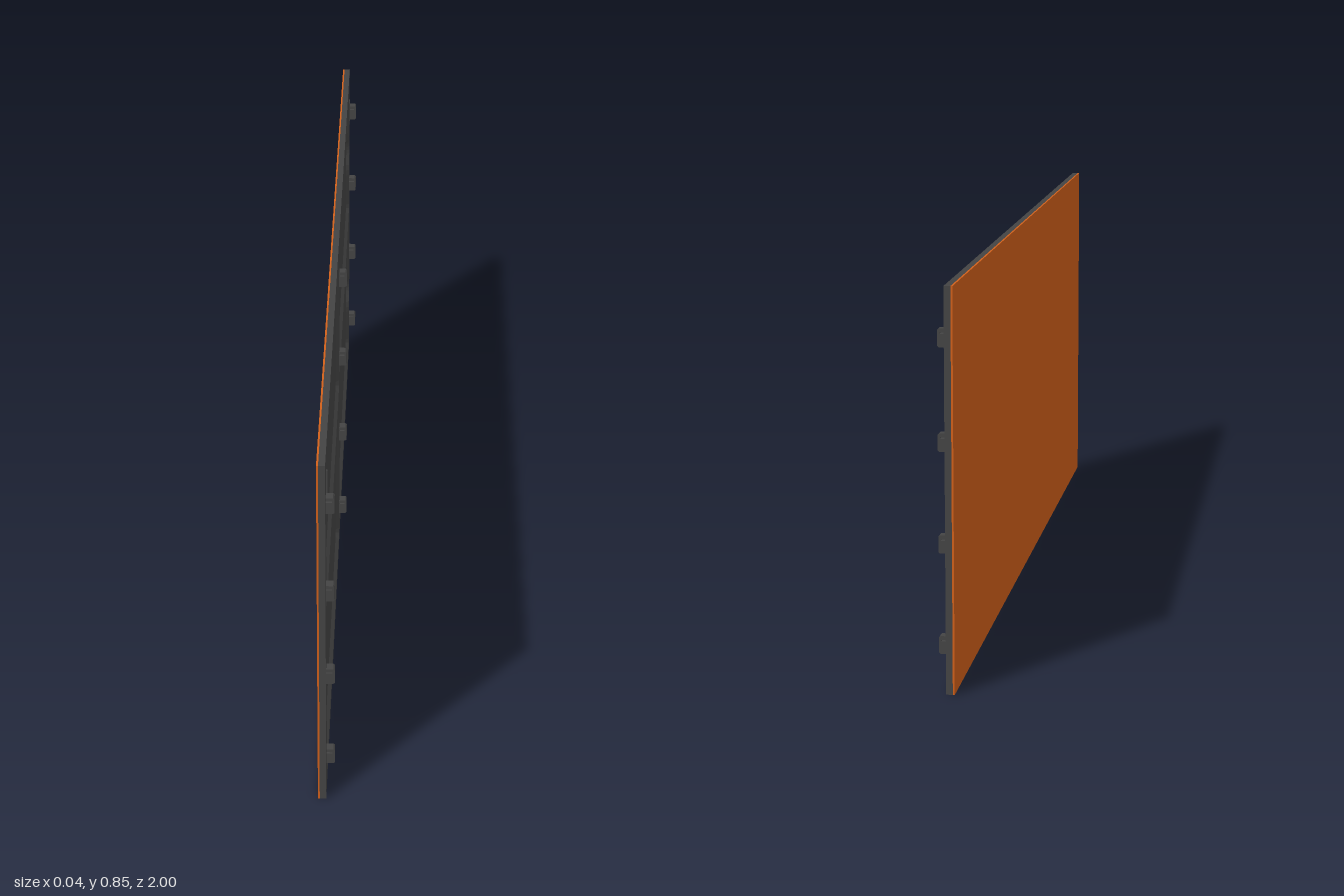
import * as THREE from 'three';
import { mergeGeometries } from 'three/addons/utils/BufferGeometryUtils.js';

const H = 0.85, SHEET = 0.004, BOARD = 0.014, DEPTH = 0.008, BEVEL = 0.009;
const V = (x, y) => new THREE.Vector2(x, y);
const dark = new THREE.MeshStandardMaterial({ color: 0x444444 });
const orange = new THREE.MeshStandardMaterial({ color: 0xd2601a });

// Counter-clockwise outline with every corner softened by a short curve
function rounded(points, radius) {
  const n = points.length, out = [];
  points.forEach((p, i) => {
    const toward = (q) => p.clone().add(q.clone().sub(p).setLength(Math.min(radius, q.distanceTo(p) * 0.4)));
    const a = toward(points[(i + n - 1) % n]), b = toward(points[(i + 1) % n]);
    out.push(...new THREE.QuadraticBezierCurve(a, p, b).getPoints(3));
  });
  return THREE.ShapeUtils.area(out) < 0 ? out.reverse() : out;
}

// Moves a counter-clockwise outline inward by d
function inset(points, d) {
  const n = points.length;
  const normal = (a, b) => V(a.y - b.y, b.x - a.x).normalize();
  return points.map((p, i) => {
    const n1 = normal(points[(i + n - 1) % n], p), n2 = normal(p, points[(i + 1) % n]);
    return n1.clone().add(n2).multiplyScalar(d / (1 + n1.dot(n2))).add(p);
  });
}

// Wall between a front outline and a deeper outline
function wall(outer, inner, z0, z1) {
  const pos = [], n = outer.length;
  for (let i = 0; i < n; i++) {
    const j = (i + 1) % n;
    const a = [outer[i].x, outer[i].y, z0], b = [outer[j].x, outer[j].y, z0];
    const c = [inner[j].x, inner[j].y, z1], d = [inner[i].x, inner[i].y, z1];
    pos.push(...a, ...b, ...c, ...a, ...c, ...d);
  }
  const g = new THREE.BufferGeometry();
  g.setAttribute('position', new THREE.Float32BufferAttribute(pos, 3));
  g.computeVertexNormals();
  return g;
}

function face(outline, holes, z) {
  const shape = new THREE.Shape(outline);
  shape.holes = holes.map((h) => new THREE.Path(h));
  const g = new THREE.ShapeGeometry(shape).toNonIndexed().translate(0, 0, z);
  g.deleteAttribute('uv');
  return g;
}

const rect = (cx, cy, w, h) =>
  [V(cx - w / 2, cy - h / 2), V(cx + w / 2, cy - h / 2), V(cx + w / 2, cy + h / 2), V(cx - w / 2, cy + h / 2)];

export function createModel() {
  const group = new THREE.Group();
  const panel = new THREE.Group();
  panel.name = 'panel';
  group.add(panel);
  const add = (name, geometry, material, parent = panel) => {
    const m = new THREE.Mesh(geometry, material);
    m.name = name;
    parent.add(m);
    return m;
  };

  // Stepped outline of one recess, mirrored and repeated on two rows
  const profile = [[0.03, 0.83], [0.893, 0.83], [0.893, 0.69], [0.91, 0.678], [0.955, 0.678], [0.972, 0.66],
    [0.972, 0.62], [0.937, 0.588], [0.937, 0.455], [0.03, 0.455]];
  const recesses = [], slots = [];
  for (const s of [-1, 1]) {
    for (const drop of [0, 0.428]) {
      recesses.push(rounded(profile.map(([x, y]) => V(s * x, y - drop)), 0.022));
    }
    slots.push(rect(s * 0.925, 0.758, 0.024, 0.084));
  }

  // Dark board: pierced front, outer edges, slot walls, sunken fields
  const border = rect(0, H / 2, 2, H);
  const edge = [...border].reverse();
  const parts = [face(border, [...recesses, ...slots], 0), wall(edge, edge, 0, -BOARD)];
  slots.forEach((s) => parts.push(wall(s, s, 0, -BOARD)));
  add('board', mergeGeometries(parts), dark);
  recesses.forEach((r) => {
    const floor = inset(r, BEVEL);
    add('recess', mergeGeometries([wall(r, floor, 0, -DEPTH), face(floor, [], -DEPTH)]), dark);
  });

  // Coloured cover sheet on the other side
  add('coverSheet', new THREE.BoxGeometry(2, H, SHEET).translate(0, H / 2, -BOARD - SHEET / 2), orange);

  // Latch bars inside the two slots
  for (const s of [-1, 1]) {
    const latch = new THREE.Group();
    latch.name = 'latch';
    latch.position.set(s * 0.925, 0.758, 0);
    add('latchBar', new THREE.BoxGeometry(0.005, 0.07, 0.016).translate(0, 0, -0.006), dark, latch);
    add('latchBridge', new THREE.BoxGeometry(0.024, 0.008, 0.012).translate(0, 0, -0.008), dark, latch);
    panel.add(latch);
  }

  // Hooked clips: side profile (out from the board, up) extruded to the clip width
  const hook = new THREE.Shape([V(-0.001, -0.019), V(0.015, -0.019), V(0.018, -0.016), V(0.018, 0.016),
    V(0.015, 0.019), V(-0.001, 0.019), V(-0.001, 0.011), V(0.013, 0.011), V(0.013, 0.008), V(-0.001, 0.008)]);
  const clip = new THREE.ExtrudeGeometry(hook, { depth: 0.02, bevelEnabled: false })
    .translate(0, 0, -0.01).rotateY(-Math.PI / 2);
  for (const x of [-0.968, 0, 0.968]) {
    for (const y of [0.099, 0.313, 0.526, 0.741]) {
      add('clip', clip, dark).position.set(x, y, 0);
    }
  }

  // The recessed side faces +x
  panel.rotation.y = Math.PI / 2;
  return group;
}
